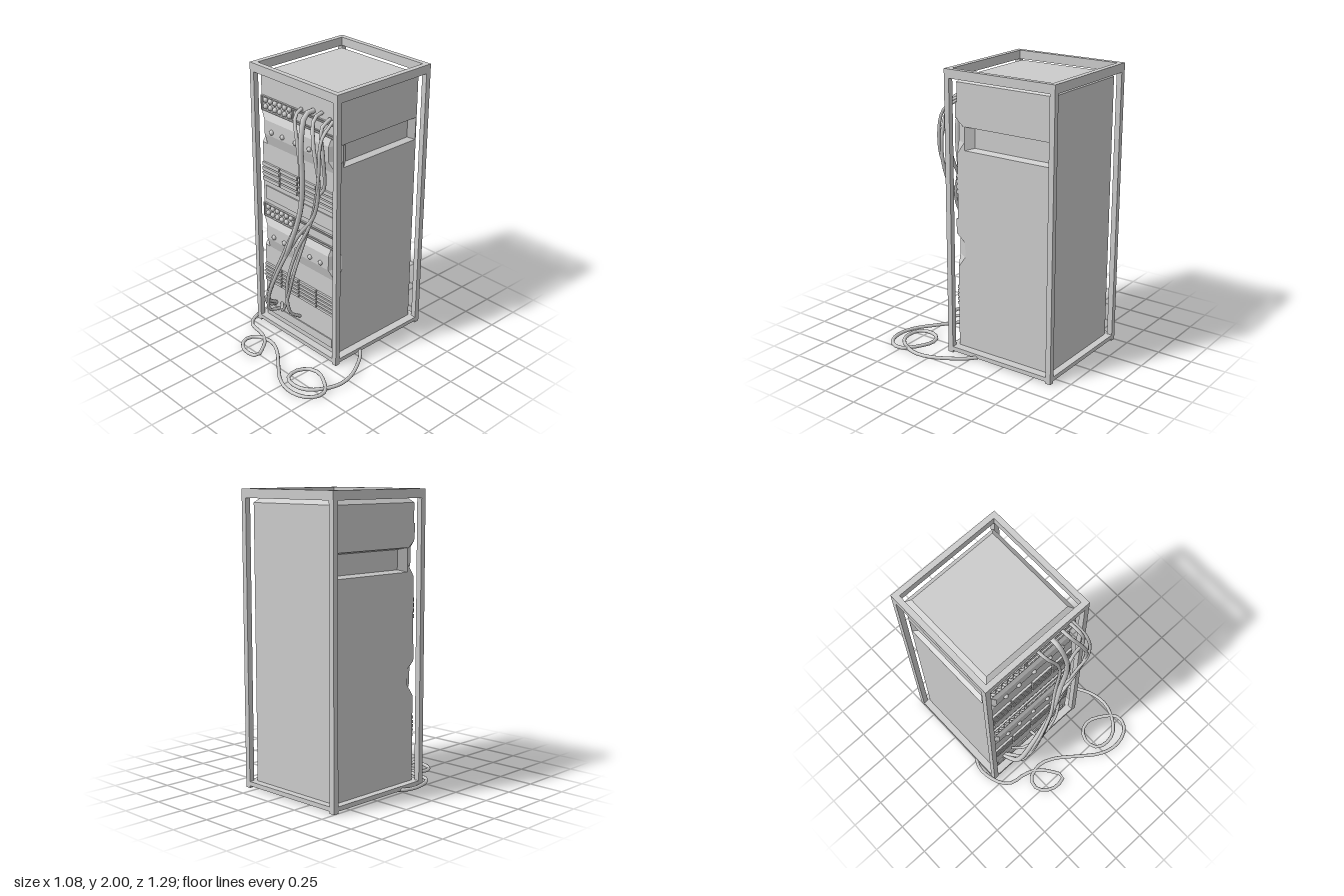
import * as THREE from 'three';

const grey = new THREE.MeshStandardMaterial({ color: 0xcccccc, flatShading: true });
const sheet = new THREE.MeshStandardMaterial({ color: 0xcccccc, flatShading: true, side: THREE.DoubleSide });
const smooth = new THREE.MeshStandardMaterial({ color: 0xcccccc });

const X0 = -0.45, X1 = 0.28, ZF = 0.147, ZB = -0.595; // cabinet extents
const BAYS = [1.43, 0.63]; // lower edge of each sculpted bay

export function createModel() {
  const root = new THREE.Group();
  const add = (parent, name, geo, mat = grey) => {
    const m = new THREE.Mesh(geo, mat);
    m.name = name;
    parent.add(m);
    return m;
  };
  const group = (name) => {
    const g = new THREE.Group();
    g.name = name;
    root.add(g);
    return g;
  };
  // box given by its limits
  const box = (parent, name, x0, x1, y0, y1, z0, z1) => {
    const m = add(parent, name, new THREE.BoxGeometry(x1 - x0, y1 - y0, z1 - z0));
    m.position.set((x0 + x1) / 2, (y0 + y1) / 2, (z0 + z1) / 2);
    return m;
  };
  // surface through a grid of rows of points
  const loft = (rows, closed = false) => {
    const n = rows[0].length, index = [];
    for (let r = 0; r < rows.length - 1; r++)
      for (let i = 0; i < (closed ? n : n - 1); i++) {
        const a = r * n + i, b = r * n + (i + 1) % n;
        index.push(a, b, b + n, a, b + n, a + n);
      }
    const g = new THREE.BufferGeometry();
    g.setAttribute('position', new THREE.Float32BufferAttribute(rows.flat(2), 3));
    g.setIndex(index);
    g.computeVertexNormals();
    return g;
  };

  // open frame: posts, top rails, base plate
  const frame = group('frame');
  const FX = [[-0.5, -0.462], [0.302, 0.34]], FZ = [[-0.645, -0.607], [0.162, 0.2]];
  for (const [x0, x1] of FX) {
    for (const [z0, z1] of FZ) box(frame, 'post', x0, x1, 0, 1.94, z0, z1);
    box(frame, 'topSideRail', x0, x1, 1.94, 2, -0.645, 0.2);
  }
  for (const [z0, z1] of FZ) box(frame, 'topCrossRail', -0.462, 0.302, 1.94, 2, z0, z1);
  box(frame, 'basePlate', -0.5, 0.34, 0.015, 0.045, -0.645, 0.2);

  // cabinet: a core between two side panels, notched at the front for the bays
  const cabinet = group('cabinet');
  const slab = (name, x0, x1, hole) => {
    const s = new THREE.Shape();
    s.moveTo(-ZB, 0.045);
    s.lineTo(-ZB, 1.91);
    s.lineTo(-ZF, 1.91);
    for (const y of BAYS)
      for (const [dy, z] of [[0.23, ZF], [0.185, 0.09], [0.08, 0.09], [0, ZF]]) s.lineTo(-z, y + dy);
    s.lineTo(-ZF, 0.045);
    s.closePath();
    if (hole) s.holes.push(new THREE.Path(hole.map(([z, y]) => new THREE.Vector2(-z, y))));
    const g = new THREE.ExtrudeGeometry(s, { depth: x1 - x0, bevelEnabled: false });
    g.rotateY(Math.PI / 2).translate(x0, 0, 0);
    add(cabinet, name, g);
  };
  const rim = [[0.085, 1.46], [0.085, 1.62], [-0.588, 1.62], [-0.588, 1.46]];
  const floor = [[0.03, 1.476], [0.03, 1.608], [-0.55, 1.608], [-0.55, 1.476]];
  const D = 0.04;
  slab('core', X0 + D, X1 - D);
  for (const [name, out, inn] of [['rightPanel', X0, X0 + D], ['leftPanel', X1, X1 - D]]) {
    slab(name, Math.min(out, inn), Math.max(out, inn), rim);
    add(cabinet, 'sideGrooveSlopes', loft([rim.map(([z, y]) => [out, y, z]), floor.map(([z, y]) => [inn, y, z])], true), sheet);
    // flat margin between slopes and rim at the groove floor is the core itself
  }
  // bevelled roof
  const ring = (d, y) => [[X0 + d, y, ZF - d], [X1 - d, y, ZF - d], [X1 - d, y, ZB + d], [X0 + d, y, ZB + d]];
  add(cabinet, 'roofBevel', loft([ring(0, 1.91), ring(0.035, 1.945)], true), sheet);
  box(cabinet, 'roof', X0 + 0.035, X1 - 0.035, 1.9, 1.945, ZB + 0.035, ZF - 0.035);

  // sculpted bays with scooped ends and a row of dials
  const dial = (parent, x, y, z, r) => {
    const m = add(parent, 'knob', new THREE.SphereGeometry(r, 10, 6), smooth);
    m.position.set(x, y, z);
  };
  for (const y of BAYS) {
    const bay = group('dialBay');
    const ends = [ZF, 0.09, 0.09, ZF], mid = [ZF, 0.17, 0.17, ZF];
    const column = (x, zs) => [0.23, 0.185, 0.08, 0].map((dy, i) => [x, y + dy, zs[i]]);
    add(bay, 'bayFace', loft([column(X0, ends), column(X0 + 0.05, mid), column(X1 - 0.05, mid), column(X1, ends)]), sheet);
    for (const x of [-0.325, -0.215, -0.085, 0.05, 0.155]) dial(bay, x, y + 0.11, 0.172, 0.018);
  }

  // outlined rectangle of four thin bars
  const outline = (parent, name, x0, x1, y0, y1, z, t = 0.006) => {
    box(parent, name, x0, x1, y0, y0 + t, ZF - 0.01, z);
    box(parent, name, x0, x1, y1 - t, y1, ZF - 0.01, z);
    box(parent, name, x0, x0 + t, y0 + t, y1 - t, ZF - 0.01, z);
    box(parent, name, x1 - t, x1, y0 + t, y1 - t, ZF - 0.01, z);
  };
  // control strips: two rows of buttons and a framed display
  for (const y of [1.67, 0.87]) {
    const strip = group('controlStrip');
    outline(strip, 'stripBorder', -0.445, 0.28, y, y + 0.105, 0.16);
    outline(strip, 'displayBorder', -0.135, 0.265, y + 0.014, y + 0.09, 0.157);
    for (let i = 0; i < 6; i++)
      for (const dy of [0.03, 0.077]) dial(strip, -0.405 + i * 0.048, y + dy, 0.15, 0.019);
  }
  // vent slats
  const vents = group('vents');
  for (const [rows, y0, pitch, h] of [[4, 1.15, 0.037, 0.026], [5, 0.347, 0.03, 0.02]])
    for (let r = 0; r < rows; r++)
      for (let c = 0; c < 4; c++) {
        const x = -0.443 + c * 0.182, y = y0 + r * pitch;
        box(vents, 'slat', x, x + 0.17, y, y + h, ZF - 0.01, 0.162);
      }
  // blank cover plates
  box(cabinet, 'middleCover', -0.42, 0.255, 1.01, 1.11, ZF - 0.01, 0.155);
  box(cabinet, 'lowerCover', -0.415, 0.25, 0.085, 0.15, ZF - 0.01, 0.155);
  const plug = add(cabinet, 'underPlug', new THREE.CylinderGeometry(0.008, 0.008, 0.01, 8));
  plug.position.set(-0.08, 0.01, -0.28);

  // hanging cables
  const cables = group('cables');
  const cable = (name, pts, r, perPoint) => {
    const curve = new THREE.CatmullRomCurve3(pts.map((p) => new THREE.Vector3(...p)));
    add(cables, name, new THREE.TubeGeometry(curve, pts.length * perPoint, r, 8), smooth);
  };
  cable('thickCable', [[0.07, 1.81, 0.15], [0.07, 1.8, 0.22], [0.09, 1.62, 0.28], [0.1, 1.4, 0.28], [0.07, 1.15, 0.27],
    [-0.02, 0.85, 0.29], [-0.2, 0.5, 0.29], [-0.32, 0.24, 0.25], [-0.35, 0.18, 0.15]], 0.018, 4);
  cable('cable', [[-0.045, 1.79, 0.15], [-0.03, 1.76, 0.22], [0.03, 1.62, 0.26], [0.06, 1.4, 0.26], [0.04, 1.1, 0.25],
    [-0.05, 0.82, 0.3], [-0.2, 0.48, 0.31], [-0.29, 0.2, 0.26], [-0.31, 0.15, 0.15]], 0.012, 4);
  cable('cable', [[0.15, 1.82, 0.15], [0.16, 1.8, 0.23], [0.22, 1.65, 0.29], [0.265, 1.42, 0.29], [0.2, 1.15, 0.27],
    [0.03, 0.92, 0.27], [-0.12, 0.62, 0.31], [-0.26, 0.32, 0.29], [-0.34, 0.19, 0.15]], 0.013, 4);
  cable('cable', [[0.225, 1.8, 0.15], [0.24, 1.76, 0.24], [0.265, 1.58, 0.25], [0.23, 1.33, 0.21], [0.18, 1.26, 0.22],
    [0.16, 1.08, 0.26], [0.02, 0.8, 0.27], [-0.07, 0.5, 0.28], [-0.083, 0.26, 0.24], [-0.083, 0.19, 0.15]], 0.012, 4);
  cable('cable', [[0.25, 1.79, 0.15], [0.27, 1.7, 0.27], [0.275, 1.45, 0.3], [0.2, 1.2, 0.27], [0.11, 0.98, 0.25],
    [0.02, 0.65, 0.29], [-0.08, 0.38, 0.27], [-0.17, 0.24, 0.23], [-0.22, 0.2, 0.2], [-0.28, 0.21, 0.15]], 0.011, 4);

  // loose cable looping over the floor
  const path = [[-0.47, -0.04], [-0.515, 0.02], [-0.53, 0.1], [-0.49, 0.25], [-0.43, 0.31], [-0.31, 0.33], [-0.22, 0.37],
    [-0.15, 0.45], [-0.11, 0.535], [-0.18, 0.56], [-0.26, 0.54], [-0.32, 0.47], [-0.3, 0.39], [-0.22, 0.355],
    [-0.15, 0.355], [-0.05, 0.4], [0.08, 0.5], [0.2, 0.59], [0.29, 0.628], [0.37, 0.635], [0.46, 0.61],
    [0.518, 0.55], [0.518, 0.47], [0.42, 0.39], [0.33, 0.355], [0.25, 0.38], [0.21, 0.47], [0.24, 0.55],
    [0.33, 0.572], [0.42, 0.54], [0.5, 0.43], [0.527, 0.33], [0.51, 0.22], [0.45, 0.1], [0.38, 0], [0.32, -0.05]];
  cable('floorCable', path.map(([x, z]) => [x, 0.018, z]), 0.013, 2);

  return root;
}
